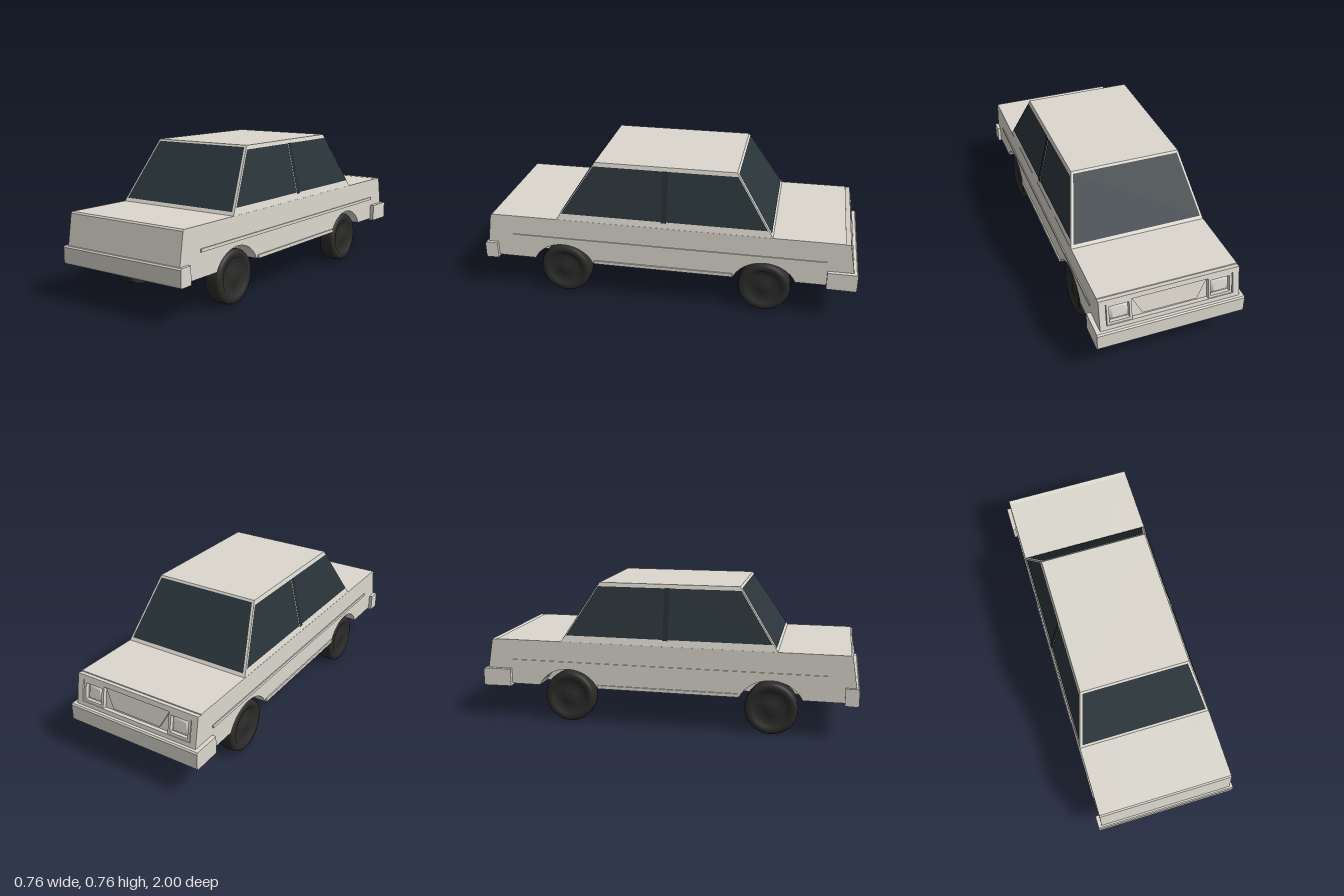
import * as THREE from 'three';

const paint = new THREE.MeshStandardMaterial({ color: 0xdcd8cf });
const glass = new THREE.MeshStandardMaterial({ color: 0x2a353a, side: THREE.DoubleSide });
const pillar = new THREE.MeshStandardMaterial({ color: 0x232d31, side: THREE.DoubleSide });
const rubber = new THREE.MeshStandardMaterial({ color: 0x2b2b2a });

function add(parent, name, geometry, material, x = 0, y = 0, z = 0) {
  const mesh = new THREE.Mesh(geometry, material);
  mesh.name = name;
  mesh.position.set(x, y, z);
  parent.add(mesh);
  return mesh;
}

const polygon = (points) => new THREE.Shape(points.map(([a, b]) => new THREE.Vector2(a, b)));

// Side profile given as (z, y), extruded across the width and centred on x
function across(shape, width) {
  const g = new THREE.ExtrudeGeometry(shape, { depth: width, bevelEnabled: false, curveSegments: 24 });
  return g.translate(0, 0, -width / 2).rotateY(-Math.PI / 2);
}

// Rectangular frame centred on the origin, or with its foot on y = 0
function frame(w, h, hw, hh, depth) {
  const rect = (a, b) => [[-a, -b], [a, -b], [a, b], [-a, b]];
  const s = polygon(rect(w / 2, h / 2));
  s.holes.push(new THREE.Path(polygon(rect(hw / 2, hh / 2)).getPoints().reverse()));
  return new THREE.ExtrudeGeometry(s, { depth, bevelEnabled: false });
}

function quad(a, b, c, d) {
  const g = new THREE.BufferGeometry();
  g.setAttribute('position', new THREE.Float32BufferAttribute([a, b, c, a, c, d].flat(), 3));
  g.computeVertexNormals();
  return g;
}

// Tapering cabin: half width, front and rear limits at height y
const BELT = 0.445, ROOF = 0.76;
const rise = (y) => (y - BELT) / (ROOF - BELT);
const halfX = (y) => 0.357 - 0.071 * rise(y);
const frontZ = (y) => 0.59 - 0.205 * rise(y);
const rearZ = (y) => -0.56 + 0.2 * rise(y);

const WHEELS = [-0.525, 0.56];

function buildBody(car) {
  const rearEdge = [[-0.925, BELT], [-0.955, 0.28], [-0.955, 0.2]];
  const frontEdge = [[0.965, 0.2], [0.985, 0.28], [0.96, 0.437], [0.952, BELT]];
  add(car, 'bodyCore', across(polygon([...rearEdge, ...frontEdge]), 0.5), paint);

  // Flanks with the wheel arches cut out
  const flank = new THREE.Shape();
  flank.moveTo(...rearEdge[0]);
  rearEdge.slice(1).forEach((p) => flank.lineTo(...p));
  const t = Math.asin(0.06 / 0.155);
  for (const z of WHEELS) flank.absellipse(z, 0.14, 0.175, 0.155, Math.PI - t, t, true);
  frontEdge.forEach((p) => flank.lineTo(...p));

  for (const [side, s] of [['left', 1], ['right', -1]]) {
    add(car, side + 'Flank', across(flank, 0.11), paint, s * 0.303);
    add(car, side + 'TrimStrip', new THREE.BoxGeometry(0.008, 0.016, 1.68), paint, s * 0.359, 0.328, 0);
    add(car, side + 'Sill', new THREE.BoxGeometry(0.02, 0.018, 0.75), paint, s * 0.355, 0.208, 0.015);
  }
}

function buildCabin(car) {
  // Tapered shell from a box whose corners follow the cabin limits
  const shell = new THREE.BoxGeometry(2, 1, 2).toNonIndexed();
  const p = shell.attributes.position;
  for (let i = 0; i < p.count; i++) {
    const y = p.getY(i) > 0 ? ROOF : BELT;
    p.setXYZ(i, p.getX(i) * halfX(y), y, p.getZ(i) > 0 ? frontZ(y) : rearZ(y));
  }
  shell.computeVertexNormals();
  add(car, 'cabin', shell, paint);

  // Front and rear screens
  for (const [name, edge, out] of [['windscreen', frontZ, 0.003], ['rearScreen', rearZ, -0.003]]) {
    const at = (s, y) => [s * (halfX(y) - 0.011), y, edge(y) + out];
    add(car, name, quad(at(-1, 0.462), at(1, 0.462), at(1, 0.751), at(-1, 0.751)), glass);
  }

  // Side windows with a dark centre pillar
  for (const [side, s] of [['left', 1], ['right', -1]]) {
    const pane = (y0, y1, zf, zr, out) => {
      const at = (y, z) => [s * (halfX(y) + out), y, z(y)];
      return quad(at(y0, zf), at(y0, zr), at(y1, zr), at(y1, zf));
    };
    const front = (y) => frontZ(y) - 0.006, rear = (y) => rearZ(y) + 0.006;
    add(car, side + 'FrontWindow', pane(0.48, 0.74, front, () => 0.02, 0.003), glass);
    add(car, side + 'RearWindow', pane(0.48, 0.74, () => -0.005, rear, 0.003), glass);
    add(car, side + 'CentrePillar', pane(0.475, 0.742, () => 0.022, () => -0.007, 0.006), pillar);
  }
}

// Sloping tail panel: an open frame holding lamps and a folded centre plate
function buildTail(car) {
  const tail = new THREE.Group();
  tail.name = 'tailPanel';
  tail.position.set(0, 0.362, -0.965);
  tail.rotation.x = 0.18;
  add(tail, 'tailFrame', frame(0.716, 0.168, 0.65, 0.115, 0.03), paint);
  for (const [side, s] of [['left', 1], ['right', -1]]) {
    add(tail, side + 'LampSurround', frame(0.125, 0.112, 0.1, 0.086, 0.026), paint, s * 0.258, 0, 0.003);
    const lens = new THREE.CylinderGeometry(0.045, 0.07, 0.014, 4, 1).rotateY(Math.PI / 4)
      .rotateX(-Math.PI / 2).scale(1, 0.86, 1);
    add(tail, side + 'Lamp', lens, paint, s * 0.258, 0, 0.018);
  }
  const plate = new THREE.ExtrudeGeometry(polygon([[-0.19, 0.05], [-0.14, -0.045], [0.14, -0.045], [0.19, 0.05]]),
    { depth: 0.014, bevelEnabled: false });
  add(tail, 'centrePlate', plate, paint, 0, 0, 0.014);
  car.add(tail);
}

function buildBumpers(car) {
  const bumper = (inner, outer, top) => {
    const d = Math.sign(outer) * 0.006;
    const pts = [[inner, 0.19], [outer - d, 0.188], [outer, 0.198], [outer, top - 0.008], [outer - d, top], [inner, top]];
    if (outer < 0) pts.reverse();
    return polygon(pts);
  };
  add(car, 'frontBumper', across(bumper(0.93, 1, 0.28), 0.752), paint);
  add(car, 'rearBumper', across(bumper(-0.845, -1, 0.284), 0.76), paint);
}

function buildWheels(car) {
  // Tyre and dished hub turned as one profile (radius, offset along the axle)
  const profile = [[0, -0.045], [0.125, -0.045], [0.136, -0.036], [0.138, -0.02], [0.138, 0.03], [0.133, 0.04],
    [0.118, 0.045], [0.098, 0.043], [0.09, 0.032], [0.06, 0.03], [0.03, 0.036], [0.02, 0.04], [0, 0.04]];
  const geometry = new THREE.LatheGeometry(profile.map(([r, h]) => new THREE.Vector2(r, h)), 36);
  geometry.rotateZ(-Math.PI / 2);
  WHEELS.forEach((z, i) => {
    for (const [side, s] of [['Left', 1], ['Right', -1]]) {
      const wheel = add(car, (i ? 'front' : 'rear') + side + 'Wheel', geometry, rubber, s * 0.302, 0.139, z);
      if (s < 0) wheel.rotation.y = Math.PI;
    }
  });
}

export function createModel() {
  const car = new THREE.Group();
  car.name = 'saloonCar';
  buildBody(car);
  buildCabin(car);
  buildTail(car);
  buildBumpers(car);
  buildWheels(car);
  return car;
}
